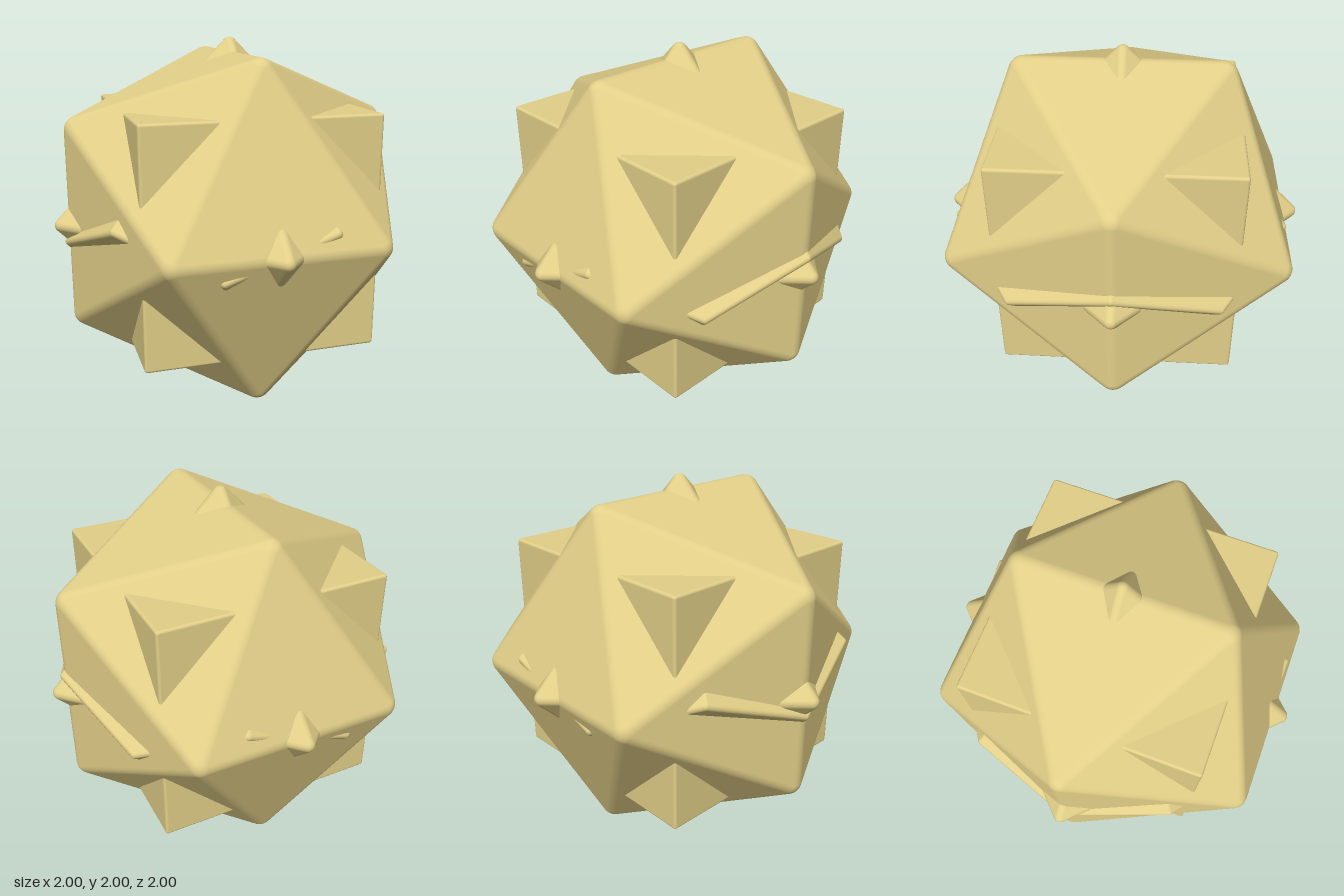
import * as THREE from 'three';

const PHI = (1 + Math.sqrt(5)) / 2;
const V = (x, y, z) => new THREE.Vector3(x, y, z);
const mixNormal = (a, b, t) => a.clone().lerp(b, t).normalize();

// Sort points counter-clockwise about an outward axis
function sortAround(axis, items, pointOf) {
  const u = V(0.31, 0.57, 0.76).cross(axis).normalize();
  const w = axis.clone().cross(u);
  const angle = (i) => Math.atan2(pointOf(i).dot(w), pointOf(i).dot(u));
  return [...items].sort((a, b) => angle(a) - angle(b));
}

// Corners of the solid bounded by planes n.p = d, each with its touching faces
function findCorners(normals, d) {
  const corners = [];
  const m = new THREE.Matrix3();
  const count = normals.length;
  for (let i = 0; i < count; i++) for (let j = i + 1; j < count; j++) for (let k = j + 1; k < count; k++) {
    m.set(...normals[i].toArray(), ...normals[j].toArray(), ...normals[k].toArray());
    if (Math.abs(m.determinant()) < 1e-5) continue;
    const p = V(d, d, d).applyMatrix3(m.invert());
    if (normals.some((n) => n.dot(p) > d + 1e-5)) continue;
    if (corners.some((c) => c.p.distanceTo(p) < 1e-4)) continue;
    const faces = [...normals.keys()].filter((f) => normals[f].dot(p) > d - 1e-5);
    corners.push({ p, faces: sortAround(p.clone().normalize(), faces, (f) => normals[f]) });
  }
  return corners;
}

// Solid with equal face distances, its edges and corners filleted by radius r
function roundedSolid(rawNormals, inradius, r, seg = 5) {
  const normals = rawNormals.map((n) => n.clone().normalize());
  const corners = findCorners(normals, inradius - r);
  const positions = [];
  const shading = [];
  const put = (p, n) => {
    positions.push(...p.clone().addScaledVector(n, r).toArray());
    shading.push(...n.toArray());
  };
  const tri = (...pairs) => pairs.forEach(([p, n]) => put(p, n));
  const quad = (a, b, c, d) => { tri(a, b, c); tri(a, c, d); };

  normals.forEach((n, f) => {
    const ring = sortAround(n, corners.filter((c) => c.faces.includes(f)), (c) => c.p);
    // flat face
    for (let i = 1; i < ring.length - 1; i++) tri([ring[0].p, n], [ring[i].p, n], [ring[i + 1].p, n]);
    // rounded edges, each made once
    ring.forEach((a, i) => {
      const b = ring[(i + 1) % ring.length];
      const g = a.faces.find((x) => x !== f && b.faces.includes(x));
      if (g < f) return;
      for (let s = 0; s < seg; s++) {
        const n0 = mixNormal(n, normals[g], s / seg);
        const n1 = mixNormal(n, normals[g], (s + 1) / seg);
        quad([a.p, n0], [a.p, n1], [b.p, n1], [b.p, n0]);
      }
    });
  });

  // rounded corners
  corners.forEach(({ p, faces }) => {
    const mid = p.clone().normalize();
    faces.forEach((f, i) => {
      const g = faces[(i + 1) % faces.length];
      const at = (s, t) => [p, mixNormal(mid, mixNormal(normals[f], normals[g], s / seg), t / seg)];
      for (let s = 0; s < seg; s++) {
        tri([p, mid], at(s, 1), at(s + 1, 1));
        for (let t = 1; t < seg; t++) quad(at(s, t), at(s, t + 1), at(s + 1, t + 1), at(s + 1, t));
      }
    });
  });

  const geometry = new THREE.BufferGeometry();
  geometry.setAttribute('position', new THREE.Float32BufferAttribute(positions, 3));
  geometry.setAttribute('normal', new THREE.Float32BufferAttribute(shading, 3));
  return geometry;
}

export function createModel() {
  const group = new THREE.Group();
  const material = new THREE.MeshStandardMaterial({ color: 0xe2cf88 });
  const signs = [-1, 1];

  // Face directions of the four interlocked solids
  const cube = [];
  const octahedron = [];
  const icosahedron = [];
  const trapezohedron = [];
  for (const a of signs) {
    cube.push(V(a, 0, 0), V(0, a, 0), V(0, 0, a));
    for (const b of signs) {
      icosahedron.push(V(a / PHI, b * PHI, 0), V(0, a / PHI, b * PHI), V(b * PHI, 0, a / PHI));
      for (const c of signs) octahedron.push(V(a, b, c));
    }
  }
  icosahedron.push(...octahedron);
  // ten kite faces, the lower five turned by 36 degrees
  for (let i = 0; i < 10; i++) {
    const angle = (i * Math.PI) / 5;
    trapezohedron.push(V(1.05 * Math.cos(angle), i % 2 ? 0.96 : -0.96, 1.05 * Math.sin(angle)));
  }

  const add = (name, normals, inradius, fillet) => {
    const mesh = new THREE.Mesh(roundedSolid(normals, inradius, fillet), material);
    mesh.name = name;
    mesh.position.y = 1;
    group.add(mesh);
  };
  add('twentySidedDie', icosahedron, 0.866, 0.08);
  add('sixSidedDie', cube, 0.637, 0.015);
  add('eightSidedDie', octahedron, 1.029 / Math.sqrt(3), 0.04);
  add('tenSidedDie', trapezohedron, 0.641, 0.025);
  return group;
}
